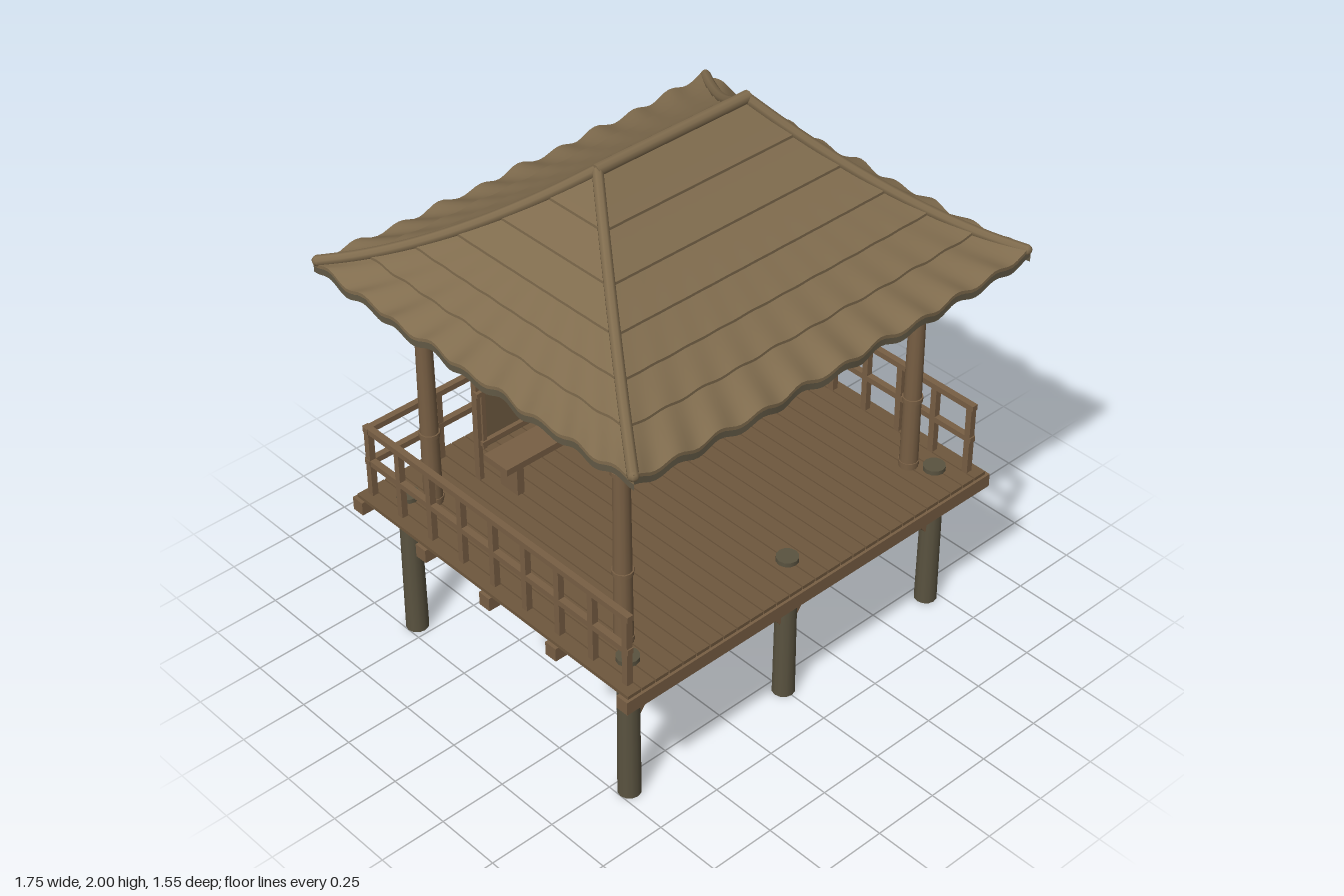
import * as THREE from 'three';
import { toCreasedNormals } from 'three/addons/utils/BufferGeometryUtils.js';

const paint = (name, color, side = THREE.FrontSide) => {
  const m = new THREE.MeshStandardMaterial({ color, side });
  m.name = name;
  return m;
};

export function createModel() {
  const model = new THREE.Group();
  model.name = 'pavilion';
  const thatch = paint('thatch', 0x806c4e, THREE.DoubleSide);
  const lining = paint('thatch underside', 0x635a46, THREE.DoubleSide);
  const wood = paint('wood', 0x785f44);
  const plank = paint('deck wood', 0x6e573d);
  const panelWood = paint('panel wood', 0x725d42);
  const stiltWood = paint('weathered wood', 0x5a5340);
  const amber = paint('lantern glass', 0xc98f3c);
  const dark = paint('dark metal', 0x3a3229);

  const add = (name, geo, mat, x = 0, y = 0, z = 0) => {
    const m = new THREE.Mesh(geo, mat);
    m.name = name;
    m.position.set(x, y, z);
    model.add(m);
    return m;
  };
  const box = (name, w, h, d, x, y, z, mat = wood) => add(name, new THREE.BoxGeometry(w, h, d), mat, x, y, z);
  const cyl = (name, rTop, rBottom, y0, y1, x, z, mat = wood, sides = 12) =>
    add(name, new THREE.CylinderGeometry(rTop, rBottom, y1 - y0, sides), mat, x, (y0 + y1) / 2, z);
  // square strut between two points
  const strut = (name, a, b, size) => {
    const p = new THREE.Vector3(...a), q = new THREE.Vector3(...b);
    const m = box(name, size, size, p.distanceTo(q), 0, 0, 0);
    m.position.copy(p).add(q).multiplyScalar(0.5);
    m.lookAt(q);
    return m;
  };

  // Stilts with caps poking through the deck, and their braces
  for (const z of [-0.555, 0.555]) {
    for (const x of [-0.71, 0, 0.71]) {
      cyl('stilt', 0.037, 0.041, 0, 0.585, x, z, stiltWood);
      cyl('stiltCap', 0.04, 0.04, 0.58, 0.597, x, z, stiltWood);
      for (const s of [-1, 1]) {
        if (x * s > 0) continue;
        strut('stiltBrace', [x + s * 0.03, 0.335, z], [x + s * 0.175, 0.525, z], 0.026);
      }
    }
  }

  // Deck: joists along x, planks along z
  for (const z of [-0.67, -0.33, 0, 0.33, 0.67]) box('joist', 1.68, 0.052, 0.05, 0, 0.541, z);
  const planks = 28, pitch = 1.66 / planks;
  for (let i = 0; i < planks; i++) {
    box('deckPlank', pitch - 0.005, 0.014, 1.37, (i + 0.5) * pitch - 0.83, 0.573, 0, plank);
  }

  // Railings on both sides and the back
  const railHeights = [0.855, 0.72];
  for (const x of [-0.785, 0.785]) {
    for (const y of railHeights) box('sideRail', 0.024, 0.022, 1.32, x, y, -0.007);
    for (let i = 0; i <= 8; i++) box('sideBaluster', 0.024, 0.28, 0.024, x, 0.715, -0.65 + i * 0.1608);
  }
  for (const y of railHeights) box('backRail', 1.6, 0.022, 0.024, 0, y, -0.65);
  for (const x of [-0.49, -0.245, 0, 0.245, 0.49]) box('backBaluster', 0.022, 0.28, 0.022, x, 0.715, -0.65);

  // Posts, collars and knee braces
  for (const x of [-0.66, 0.66]) {
    for (const z of [-0.48, 0.48]) {
      const sx = Math.sign(x), sz = Math.sign(z);
      cyl('post', 0.028, 0.034, 0.575, 1.42, x, z);
      for (const y of [0.6, 0.87, 1.27]) cyl('postCollar', 0.037, 0.037, y - 0.008, y + 0.008, x, z);
      cyl('postHead', 0.036, 0.03, 1.385, 1.415, x, z);
      strut('kneeBrace', [x - sx * 0.02, 1.3, z], [x - sx * 0.17, 1.42, z], 0.026);
      strut('kneeBrace', [x, 1.3, z - sz * 0.02], [x, 1.42, z - sz * 0.15], 0.026);
    }
  }
  for (const z of [-0.48, 0.48]) box('longBeam', 1.6, 0.052, 0.05, 0, 1.437, z);
  for (const x of [-0.66, 0.66]) box('crossBeam', 0.05, 0.048, 1.17, x, 1.436, 0);

  // Panelled screen near the back
  box('screenPanel', 0.91, 0.5, 0.02, 0, 0.955, -0.47, panelWood);
  for (const x of [-0.45, -0.225, 0, 0.23, 0.455]) box('screenBar', 0.016, 0.49, 0.012, x, 0.955, -0.455);
  for (const [y, w] of [[1.207, 0.96], [0.947, 0.96], [0.735, 0.93]]) box('screenRail', w, 0.018, 0.024, 0, y, -0.455);
  for (const x of [-0.465, 0.465]) box('screenLeg', 0.018, 0.63, 0.026, x, 0.89, -0.47);

  // Bench before the screen
  box('benchSeat', 0.98, 0.026, 0.12, 0, 0.715, -0.35);
  for (const x of [-0.42, 0.42]) box('benchLeg', 0.03, 0.13, 0.09, x, 0.64, -0.35);

  // Hanging lanterns
  for (const x of [-0.415, 0.415]) {
    const z = 0.445;
    cyl('lanternWire', 0.003, 0.003, 1.31, 1.42, x, z, dark, 6);
    cyl('lanternGlass', 0.036, 0.027, 1.205, 1.285, x, z, amber, 6);
    cyl('lanternBase', 0.03, 0.03, 1.198, 1.208, x, z, wood, 6);
    cyl('lanternBrim', 0.032, 0.047, 1.28, 1.305, x, z, wood, 6);
    cyl('lanternCap', 0.014, 0.032, 1.305, 1.325, x, z, wood, 6);
    for (let i = 0; i < 6; i++) {
      const a = (i * Math.PI) / 3, c = Math.cos(a), s = Math.sin(a);
      strut('lanternBar', [x + s * 0.028, 1.205, z + c * 0.028], [x + s * 0.037, 1.285, z + c * 0.037], 0.006);
    }
  }

  // Roof: t runs from ridge to eave, s along each side from hip to hip
  const height = (t) => 1.973 - 0.485 * (1.4 * t - 0.4 * t * t);
  const roofPoint = (side, s, t, dy) => {
    const long = side % 2 === 0, sign = side < 2 ? 1 : -1;
    const ripple = (1 - s * s) * t ** 6;
    const y = height(t) + dy + 0.022 * t ** 4 * Math.abs(s) ** 4
      + 0.011 * t ** 5 * Math.cos(s * Math.PI * (long ? 10 : 9));
    const out = 0.006 * ripple * Math.cos(s * Math.PI * 5);
    const halfX = 0.315 + 0.55 * t, halfZ = 0.765 * t;
    return long
      ? [sign * s * halfX, y, sign * (halfZ + out)]
      : [sign * (halfX + out), y, -sign * s * halfZ];
  };
  // sheet through rows of [t, height offset]
  const sheet = (side, rows) => {
    const n = 80, pos = [], index = [];
    for (const [t, dy] of rows) for (let i = 0; i <= n; i++) pos.push(...roofPoint(side, (i / n) * 2 - 1, t, dy));
    for (let r = 0; r < rows.length - 1; r++) {
      for (let i = 0; i < n; i++) {
        const a = r * (n + 1) + i, b = a + n + 1;
        index.push(a, b, a + 1, a + 1, b, b + 1);
      }
    }
    const g = new THREE.BufferGeometry();
    g.setAttribute('position', new THREE.Float32BufferAttribute(pos, 3));
    g.setIndex(index);
    return toCreasedNormals(g, 0.6);
  };
  const steps = [0, 0.18, 0.345, 0.5, 0.65, 0.81, 1];
  for (let side = 0; side < 4; side++) {
    for (let c = 0; c < 6; c++) {
      const rows = [];
      for (let k = 0; k <= 4; k++) rows.push([steps[c] + (steps[c + 1] - steps[c]) * k / 4, 0.01 * k / 4]);
      rows.push([steps[c + 1], -0.003]);
      add('thatchCourse', sheet(side, rows), thatch);
    }
    const under = [[1, -0.002], [1, -0.026]];
    for (let k = 5; k >= 0; k--) under.push([steps[k], -0.026]);
    add('roofUnderside', sheet(side, under), lining);
  }

  // Ridge and hip poles
  const ridge = add('ridgePole', new THREE.CylinderGeometry(0.022, 0.022, 0.65, 10), thatch, 0, 1.978, 0);
  ridge.rotation.z = Math.PI / 2;
  for (const sx of [-1, 1]) {
    for (const sz of [-1, 1]) {
      const pts = [];
      for (let k = 0; k <= 8; k++) {
        const t = k / 8 * 0.985;
        pts.push(new THREE.Vector3(sx * (0.315 + 0.55 * t), height(t) + 0.006 + 0.02 * t ** 4, sz * 0.765 * t));
      }
      add('hipPole', new THREE.TubeGeometry(new THREE.CatmullRomCurve3(pts), 24, 0.019, 8), thatch);
      const end = pts[8];
      add('hipPoleEnd', new THREE.SphereGeometry(0.019, 8, 6), thatch, end.x, end.y, end.z);
    }
  }
  return model;
}
